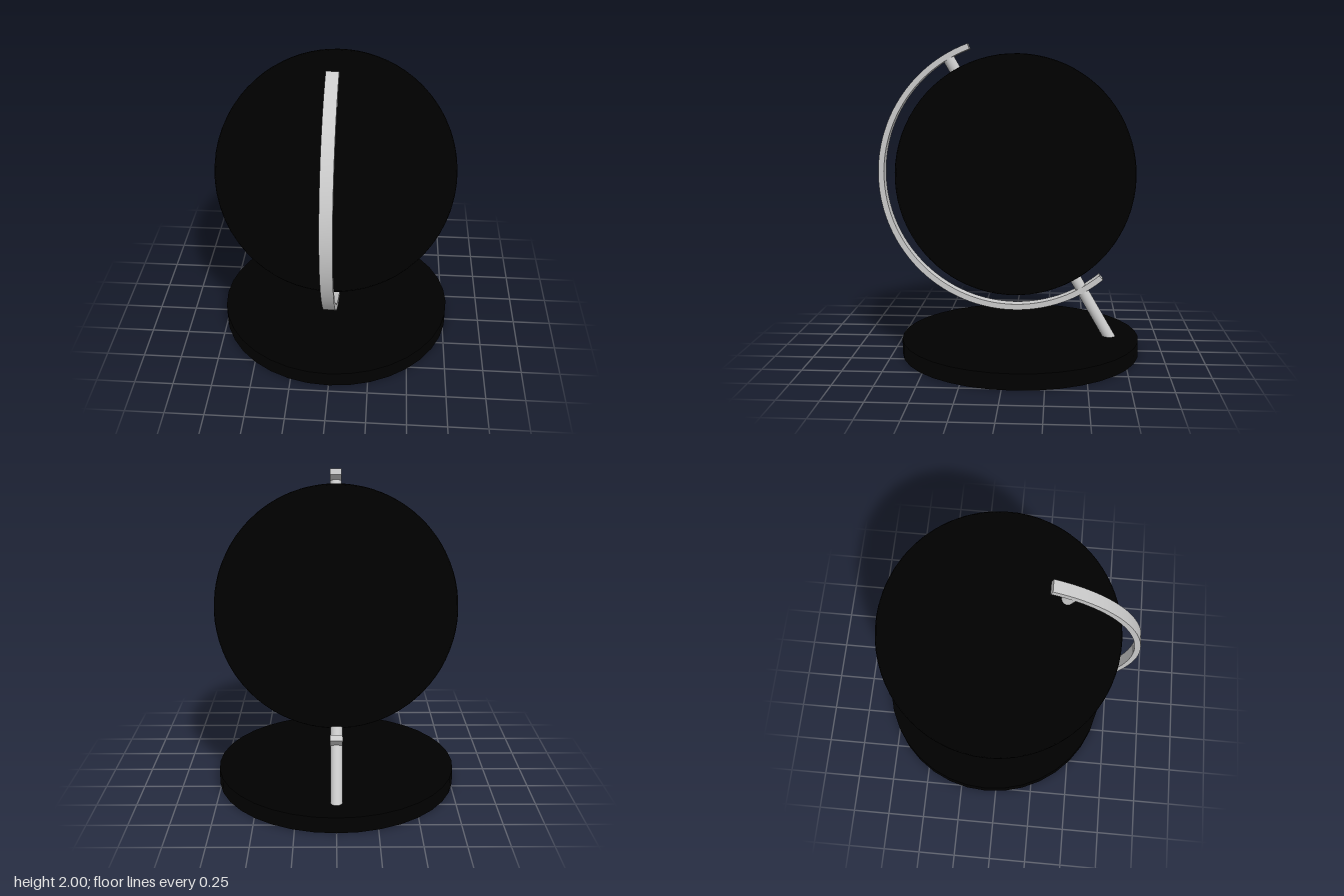
import * as THREE from 'three';
import { toCreasedNormals } from 'three/addons/utils/BufferGeometryUtils.js';

const rad = THREE.MathUtils.degToRad;

export function createModel() {
  const group = new THREE.Group();
  const black = new THREE.MeshStandardMaterial({ color: 0x000000 });
  const grey = new THREE.MeshStandardMaterial({ color: 0xcccccc });

  const add = (parent, name, geometry, material) => {
    const mesh = new THREE.Mesh(geometry, material);
    mesh.name = name;
    parent.add(mesh);
    return mesh;
  };

  // Round base plate
  add(group, 'base', new THREE.CylinderGeometry(0.773, 0.773, 0.1, 36), black)
    .position.set(0, 0.05, -0.074);

  // Everything on the tilted axis, centred on the globe; local +y is the axis
  const tilted = new THREE.Group();
  tilted.name = 'tiltedGlobe';
  tilted.position.set(0, 1.163, -0.042);
  tilted.rotation.x = rad(30);
  group.add(tilted);

  add(tilted, 'globe', new THREE.SphereGeometry(0.773, 64, 40), black);

  // Axis rods: a short upper pin, and a long lower one standing on the base
  const rod = (name, from, to) =>
    add(tilted, name, new THREE.CylinderGeometry(0.037, 0.037, to - from, 24), grey)
      .position.y = (from + to) / 2;
  rod('upperPin', 0.74, 0.86);
  rod('lowerRod', -1.25, -0.74);

  // Half-ring bracket in front, reaching 10 degrees past the axis at both ends
  const start = rad(-100), end = rad(100);
  const outline = new THREE.Shape();
  outline.absarc(0, 0, 0.887, start, end, false);
  outline.absarc(0, 0, 0.85, end, start, true);
  outline.closePath();
  const width = 0.076;
  const arc = new THREE.ExtrudeGeometry(outline, { depth: width, bevelEnabled: false, curveSegments: 48 });
  arc.translate(0, 0, -width / 2).rotateY(-Math.PI / 2);
  add(tilted, 'bracketArc', toCreasedNormals(arc, rad(30)), grey);

  return group;
}
